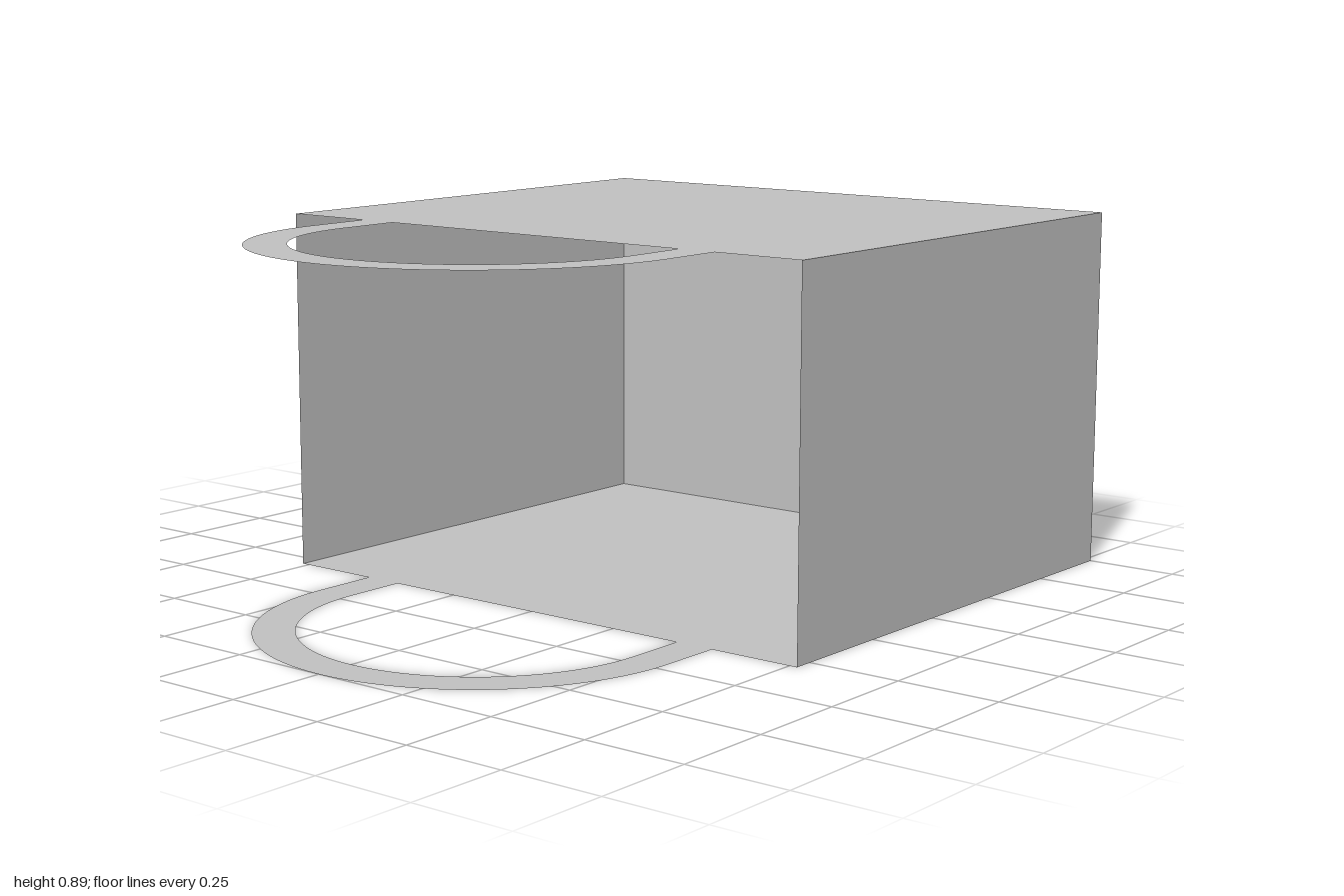
import * as THREE from 'three';

const W = 0.77, H = 0.895, BACK = -1, MOUTH = 0.3; // half width, height, z range
const OUTER = 0.537, INNER = 0.437, ARC_Z = 0.463; // handle radii and arc centre

export function createModel() {
  const bag = new THREE.Group();
  bag.name = 'openBag';
  const grey = new THREE.MeshStandardMaterial({ color: 0xc0c0c0, side: THREE.DoubleSide });
  grey.name = 'grey';

  const add = (name, geometry, x, y, z) => {
    const mesh = new THREE.Mesh(geometry, grey);
    mesh.name = name;
    mesh.position.set(x, y, z);
    bag.add(mesh);
  };

  // Thin walls, with the front left open
  const depth = MOUTH - BACK, midZ = (MOUTH + BACK) / 2;
  add('backWall', new THREE.PlaneGeometry(2 * W, H).rotateY(Math.PI), 0, H / 2, BACK);
  for (const [side, s] of [['left', 1], ['right', -1]]) {
    add(side + 'Wall', new THREE.PlaneGeometry(depth, H).rotateY(s * Math.PI / 2), s * W, H / 2, midZ);
  }

  // Flat U-shaped strap, drawn with its y axis pointing to the front
  const strap = new THREE.Shape();
  strap.moveTo(OUTER, MOUTH);
  strap.lineTo(OUTER, ARC_Z);
  strap.absarc(0, ARC_Z, OUTER, 0, Math.PI, false);
  strap.lineTo(-OUTER, MOUTH);
  strap.lineTo(-INNER, MOUTH);
  strap.lineTo(-INNER, ARC_Z);
  strap.absarc(0, ARC_Z, INNER, Math.PI, 0, true);
  strap.lineTo(INNER, MOUTH);
  strap.closePath();

  // Upper and lower panels, each continuing into a handle
  for (const [level, y, s] of [['upper', H, -1], ['lower', 0, 1]]) {
    add(level + 'Panel', new THREE.PlaneGeometry(2 * W, depth).rotateX(s * Math.PI / 2), 0, y, midZ);
    add(level + 'Handle', new THREE.ShapeGeometry(strap, 48).rotateX(Math.PI / 2), 0, y, 0);
  }
  return bag;
}
